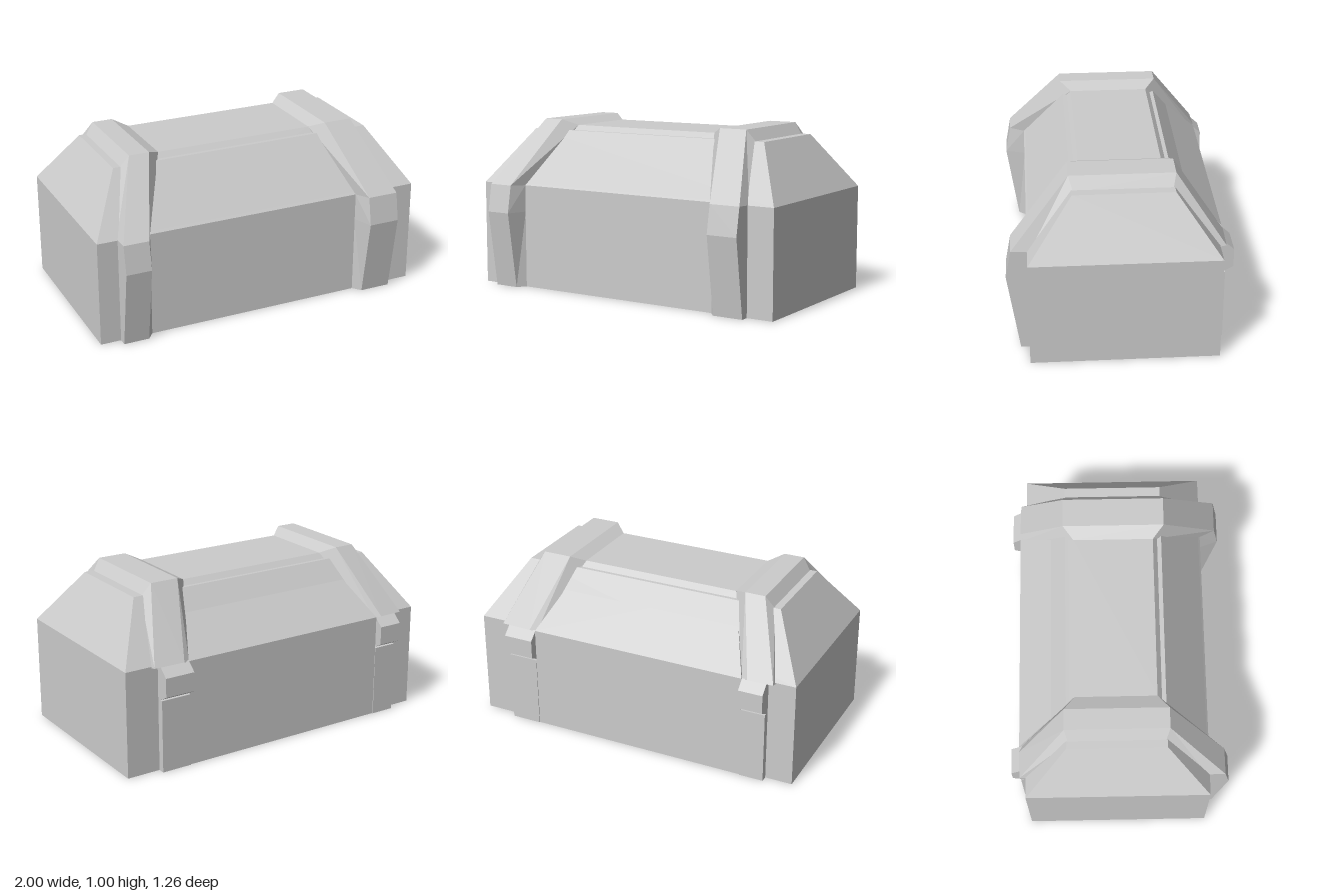
import * as THREE from 'three';

const material = new THREE.MeshStandardMaterial({ color: 0xcccccc, flatShading: true });

// Closed, flat-shaded solid through equal-length rings of [x, y, z] points.
function loft(name, rings) {
  const tris = [];
  const n = rings[0].length;
  for (let i = 0; i + 1 < rings.length; i++) {
    const a = rings[i], b = rings[i + 1];
    for (let j = 0; j < n; j++) {
      const k = (j + 1) % n;
      tris.push([a[j], a[k], b[k]], [a[j], b[k], b[j]]);
    }
  }
  const first = rings[0], last = rings[rings.length - 1];
  for (let j = 1; j < n - 1; j++) {
    tris.push([first[0], first[j + 1], first[j]], [last[0], last[j], last[j + 1]]);
  }
  // Signed volume decides whether the corners must be reversed to face outward.
  let volume = 0;
  for (const [a, b, c] of tris) {
    volume += new THREE.Vector3(...a).dot(new THREE.Vector3(...b).cross(new THREE.Vector3(...c)));
  }
  if (volume < 0) tris.forEach((t) => t.reverse());
  const geometry = new THREE.BufferGeometry();
  geometry.setAttribute('position', new THREE.Float32BufferAttribute(tris.flat(2), 3));
  geometry.computeVertexNormals();
  const mesh = new THREE.Mesh(geometry, material);
  mesh.name = name;
  return mesh;
}

// Horizontal rectangle at height y.
const rect = (x, y, back, front) => [[-x, y, back], [x, y, back], [x, y, front], [-x, y, front]];

// Prism along x from a [y, z] profile.
const prism = (name, x0, x1, profile) =>
  loft(name, [x0, x1].map((x) => profile.map(([y, z]) => [x, y, z])));

// Band that climbs the front, crosses the lid and runs down the back slope.
// low / high: x of outer base, outer ridge, inner ridge, inner base.
function band(name, low, high) {
  const station = (xs, ys, zs) => xs.map((x, i) => [x, ys[i], zs[i]]);
  return loft(name, [
    station(low, [0, 0, 0, 0], [0.5, 0.565, 0.565, 0.515]),
    station(low, [0.46, 0.46, 0.46, 0.46], [0.5, 0.635, 0.635, 0.515]),
    station(low, [0.62, 0.625, 0.625, 0.62], [0.5, 0.605, 0.605, 0.515]),
    station(high, [0.93, 1.005, 1.005, 0.97], [0.255, 0.28, 0.28, 0.215]),
    station(high, [0.93, 1.005, 1.005, 0.97], [-0.29, -0.31, -0.31, -0.25]),
    station(low, [0.61, 0.62, 0.62, 0.61], [-0.53, -0.58, -0.585, -0.57]),
  ]);
}

export function createModel() {
  const model = new THREE.Group();

  // Box body with the sloped lid at both ends
  model.add(loft('body', [
    rect(1, 0, -0.545, 0.515),
    rect(1, 0.62, -0.545, 0.515),
    rect(0.8, 0.94, -0.3, 0.265),
  ]));

  // Raised middle panel between the bands
  const panel = [[0, 0.516], [0.62, 0.516], [0.97, 0.215], [0.97, -0.25], [0.62, -0.583], [0, -0.58]];
  const panelEnd = (low, high) => panel.map(([y, z]) => [y > 0.9 ? high : low, y, z]);
  model.add(loft('middlePanel', [panelEnd(-0.695, -0.51), panelEnd(0.62, 0.45)]));

  // Bands
  model.add(band('rightBand', [-0.88, -0.88, -0.73, -0.69], [-0.765, -0.71, -0.59, -0.51]));
  model.add(band('leftBand', [0.84, 0.84, 0.655, 0.615], [0.75, 0.695, 0.525, 0.45]));

  // Back strips and hinges
  const strip = [[0, -0.5], [0, -0.585], [0.425, -0.585], [0.425, -0.5]];
  const hinge = [[0.42, -0.5], [0.42, -0.555], [0.46, -0.63], [0.57, -0.63], [0.62, -0.575], [0.62, -0.5]];
  for (const [side, x0, x1] of [['right', -0.84, -0.695], ['left', 0.62, 0.8]]) {
    model.add(prism(side + 'BackStrip', x0, x1, strip));
    model.add(prism(side + 'Hinge', x0, x1, hinge));
  }

  return model;
}
